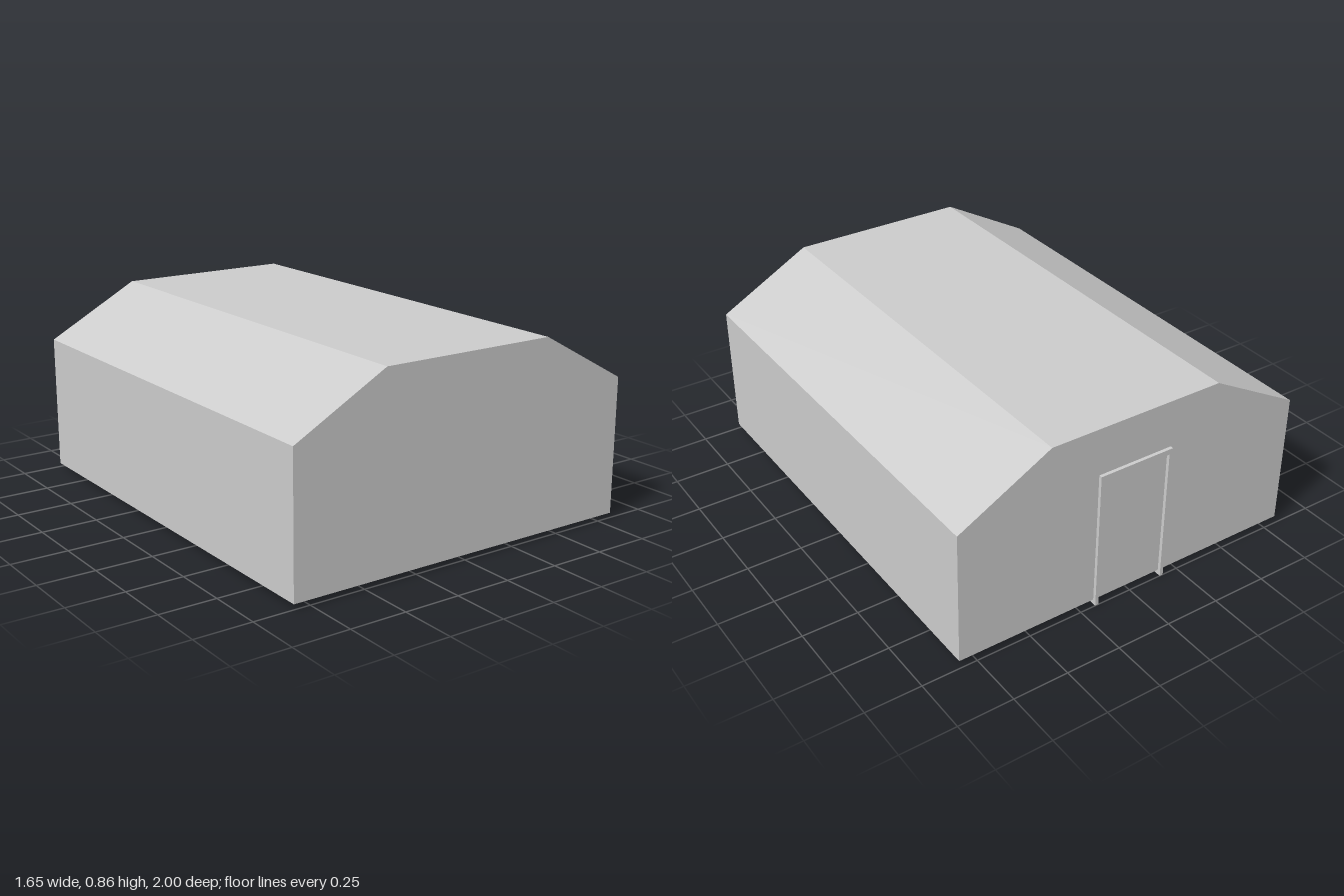
import * as THREE from 'three';

const BACK = -0.985, FRONT = 1;

export function createModel() {
  const group = new THREE.Group();
  const material = new THREE.MeshStandardMaterial({ color: 0xcccccc, flatShading: true });

  const add = (name, geometry) => {
    const mesh = new THREE.Mesh(geometry, material);
    mesh.name = name;
    group.add(mesh);
    return mesh;
  };

  // Hall: gable outline with a flat ridge, extruded along z
  const half = [[0.823, 0.022], [0.823, 0.628], [0.405, 0.857]];
  const mirrored = half.map(([x, y]) => [-x, y]).reverse();
  const outline = new THREE.Shape([...half, ...mirrored].map(([x, y]) => new THREE.Vector2(x, y)));
  const hall = new THREE.ExtrudeGeometry(outline, { depth: FRONT - BACK, bevelEnabled: false });
  hall.translate(0, 0, BACK);
  add('hall', hall);

  // Door frame: one upside-down U set into the back wall, feet reaching below the floor
  const outer = 0.177, inner = 0.161, top = 0.642, lintel = 0.025;
  const frame = new THREE.Shape([
    [outer, 0], [outer, top], [-outer, top], [-outer, 0],
    [-inner, 0], [-inner, top - lintel], [inner, top - lintel], [inner, 0],
  ].map(([x, y]) => new THREE.Vector2(x, y)));
  const door = new THREE.ExtrudeGeometry(frame, { depth: 0.075, bevelEnabled: false });
  door.translate(0, 0, -1);
  add('doorFrame', door);

  return group;
}
